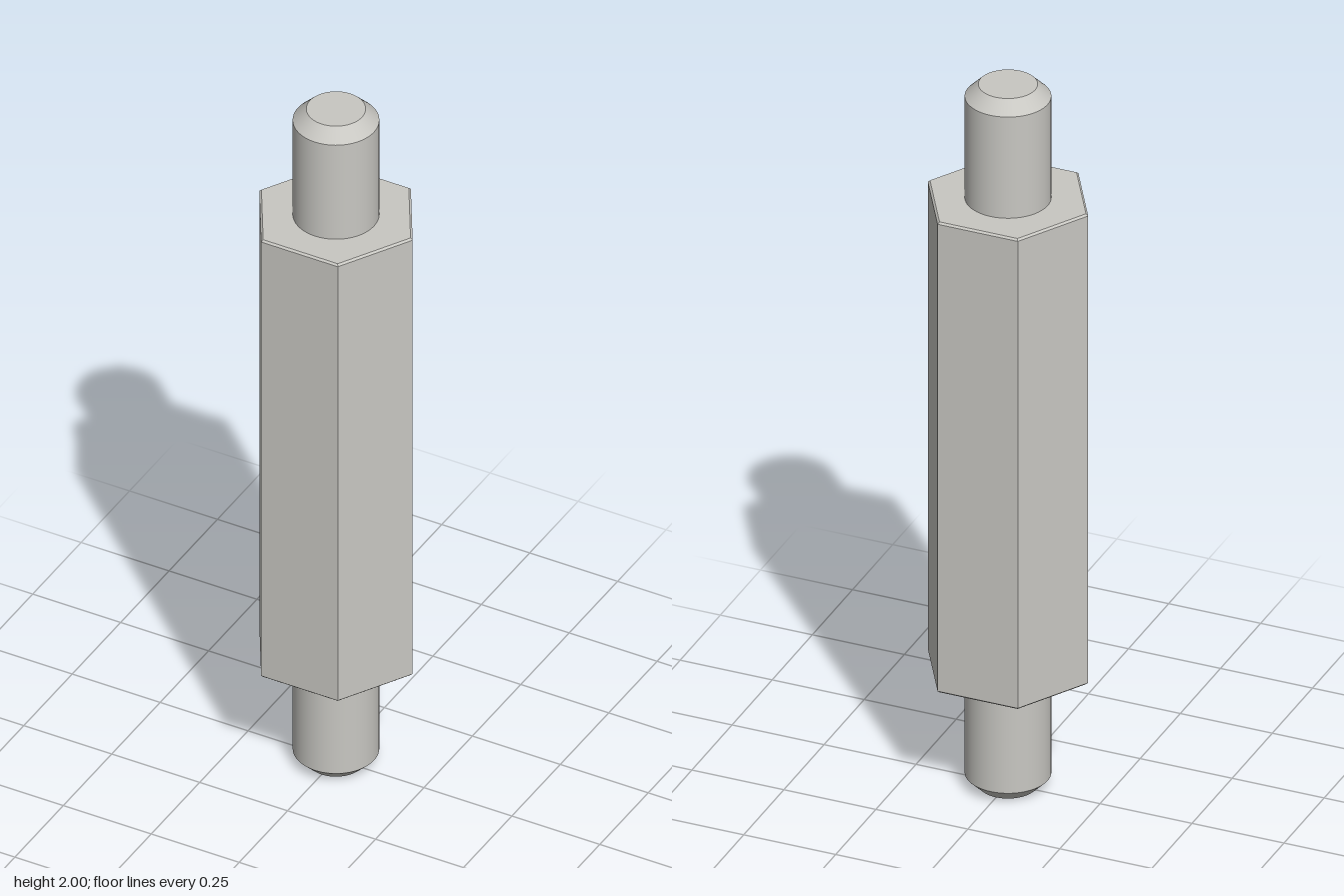
import * as THREE from 'three';

const STEEL = new THREE.MeshStandardMaterial({ color: 0xc8c7c2 });
STEEL.name = 'brushed steel';

// Six-sided or round frustum between two heights; caps: 'none', 'top' or 'bottom' only
function frustum(name, rBottom, rTop, y0, y1, sides) {
  const hex = sides === 6;
  let geo = new THREE.CylinderGeometry(rTop, rBottom, y1 - y0, sides, 1, true, hex ? Math.PI / 6 : 0);
  geo.translate(0, (y0 + y1) / 2, 0);
  if (hex) {
    geo = geo.toNonIndexed();
    geo.computeVertexNormals();
  }
  const mesh = new THREE.Mesh(geo, STEEL);
  mesh.name = name;
  return mesh;
}

// Flat end face pointing up (dir 1) or down (dir -1)
function endFace(name, r, y, dir, sides) {
  const geo = new THREE.CircleGeometry(r, sides);
  geo.rotateX(-dir * Math.PI / 2);
  geo.translate(0, y, 0);
  const mesh = new THREE.Mesh(geo, STEEL);
  mesh.name = name;
  return mesh;
}

export function createModel() {
  const model = new THREE.Group();
  model.name = 'hexStandoff';

  const bottom = 0.333, top = 1.677, bevel = 0.005;
  const hexR = 0.218, hexEndR = 0.212;
  const studR = 0.108, tipR = 0.074, chamfer = 0.034;

  // Hexagonal body with fine bevels at both ends
  const body = new THREE.Group();
  body.name = 'hexBody';
  body.add(
    frustum('bodySides', hexR, hexR, bottom + bevel, top - bevel, 6),
    frustum('upperBevel', hexR, hexEndR, top - bevel, top, 6),
    frustum('lowerBevel', hexEndR, hexR, bottom, bottom + bevel, 6),
    endFace('upperFace', hexEndR, top, 1, 6),
    endFace('lowerFace', hexEndR, bottom, -1, 6),
  );

  // Round studs with chamfered tips
  const upper = new THREE.Group();
  upper.name = 'upperStud';
  upper.add(
    frustum('shaft', studR, studR, top, 2 - chamfer, 64),
    frustum('tipChamfer', studR, tipR, 2 - chamfer, 2, 64),
    endFace('tip', tipR, 2, 1, 64),
  );

  const lower = new THREE.Group();
  lower.name = 'lowerStud';
  lower.add(
    frustum('shaft', studR, studR, chamfer, bottom, 64),
    frustum('tipChamfer', tipR, studR, 0, chamfer, 64),
    endFace('tip', tipR, 0, -1, 64),
  );

  model.add(body, upper, lower);
  return model;
}
